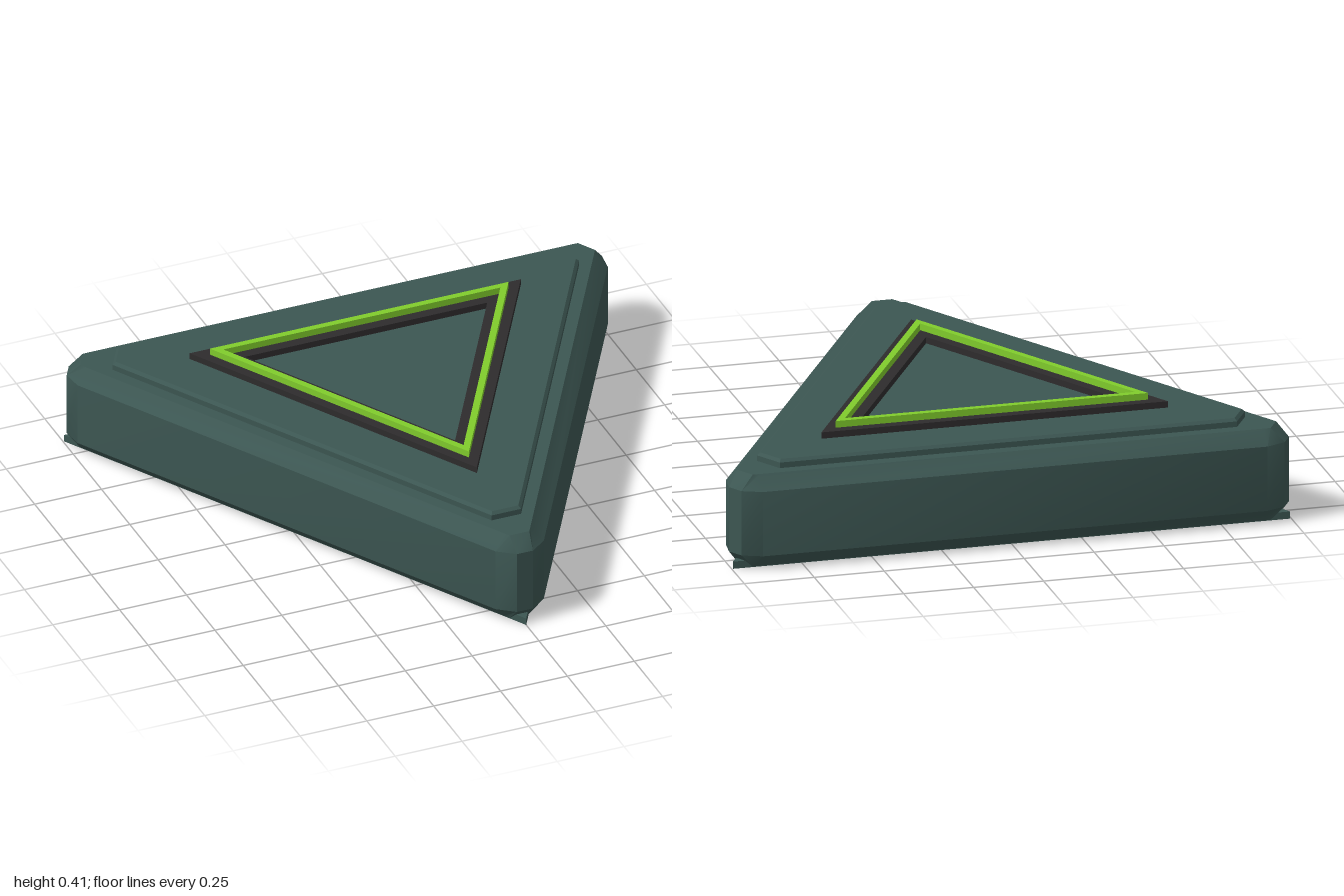
import * as THREE from 'three';
import { toCreasedNormals } from 'three/addons/utils/BufferGeometryUtils.js';

const CENTRE_Z = -0.263; // centroid of all the concentric triangles

// Repeats one corner (right half, from the edge to the tip) around three corners.
// Each corner point is [half width, distance from the centroid].
function ring(y, corner) {
  const tip = [
    ...corner.map(([x, r]) => [-x, r]),
    ...corner.slice().reverse(),
  ];
  const points = [];
  for (let k = 0; k < 3; k++) {
    const c = Math.cos(k * Math.PI * 2 / 3), s = Math.sin(k * Math.PI * 2 / 3);
    for (const [x, r] of tip) {
      points.push(new THREE.Vector3(x * c + r * s, y, -x * s + r * c + CENTRE_Z));
    }
  }
  return points;
}

// Closed solid lofted through convex rings, from bottom to top
function loft(rings) {
  const pos = [];
  const tri = (a, b, c) => pos.push(...a.toArray(), ...b.toArray(), ...c.toArray());
  const n = rings[0].length;
  for (let r = 0; r < rings.length - 1; r++) {
    const lo = rings[r], hi = rings[r + 1];
    for (let i = 0; i < n; i++) {
      const j = (i + 1) % n;
      tri(lo[i], lo[j], hi[j]);
      tri(lo[i], hi[j], hi[i]);
    }
  }
  const bottom = rings[0], top = rings[rings.length - 1];
  for (let i = 1; i < n - 1; i++) {
    tri(bottom[0], bottom[i + 1], bottom[i]);
    tri(top[0], top[i], top[i + 1]);
  }
  const geo = new THREE.BufferGeometry();
  geo.setAttribute('position', new THREE.Float32BufferAttribute(pos, 3));
  return toCreasedNormals(geo, 0.6);
}

// Sharp triangle pointing to the front, with an optional triangular hole
function triangle(radius, holeRadius, y0, y1) {
  const path = (R, target) => {
    for (let k = 0; k < 3; k++) {
      const a = k * Math.PI * 2 / 3;
      const x = R * Math.sin(a), y = -R * Math.cos(a);
      if (k === 0) target.moveTo(x, y); else target.lineTo(x, y);
    }
    target.closePath();
    return target;
  };
  const shape = path(radius, new THREE.Shape());
  if (holeRadius) shape.holes.push(path(holeRadius, new THREE.Path()));
  const geo = new THREE.ExtrudeGeometry(shape, { depth: y1 - y0, bevelEnabled: false });
  geo.rotateX(-Math.PI / 2);
  geo.translate(0, y0, CENTRE_Z);
  return geo;
}

export function createModel() {
  const model = new THREE.Group();
  const slate = new THREE.MeshStandardMaterial({ name: 'slate green', color: 0x3c5652 });
  const charcoal = new THREE.MeshStandardMaterial({ name: 'charcoal', color: 0x2e2c2d });
  const lime = new THREE.MeshStandardMaterial({ name: 'lime', color: 0x80cc2c });

  const add = (name, geometry, material) => {
    const mesh = new THREE.Mesh(geometry, material);
    mesh.name = name;
    model.add(mesh);
  };

  // Chamfered body with blunted corners
  const wide = [[0.09, 1.093], [0.03, 1.138]];
  const narrow = [[0.05, 1.068], [0.037, 1.09]];
  add('body', loft([
    ring(0.003, narrow), ring(0.053, wide), ring(0.287, wide), ring(0.337, narrow),
  ]), slate);

  // Thin base plate whose sharp tips show below the body chamfer
  add('basePlate', triangle(1.15, 0, 0, 0.026), slate);

  // Raised top panel with a fine bevel
  const panel = [[0.055, 0.975]], panelTop = [[0.049, 0.965]];
  add('topPanel', loft([ring(0.33, panel), ring(0.357, panel), ring(0.367, panelTop)]), slate);

  // Dark triangular frame and the bright strip on it
  add('frame', triangle(0.715, 0.523, 0.36, 0.39), charcoal);
  add('lightStrip', triangle(0.645, 0.598, 0.385, 0.414), lime);

  return model;
}
